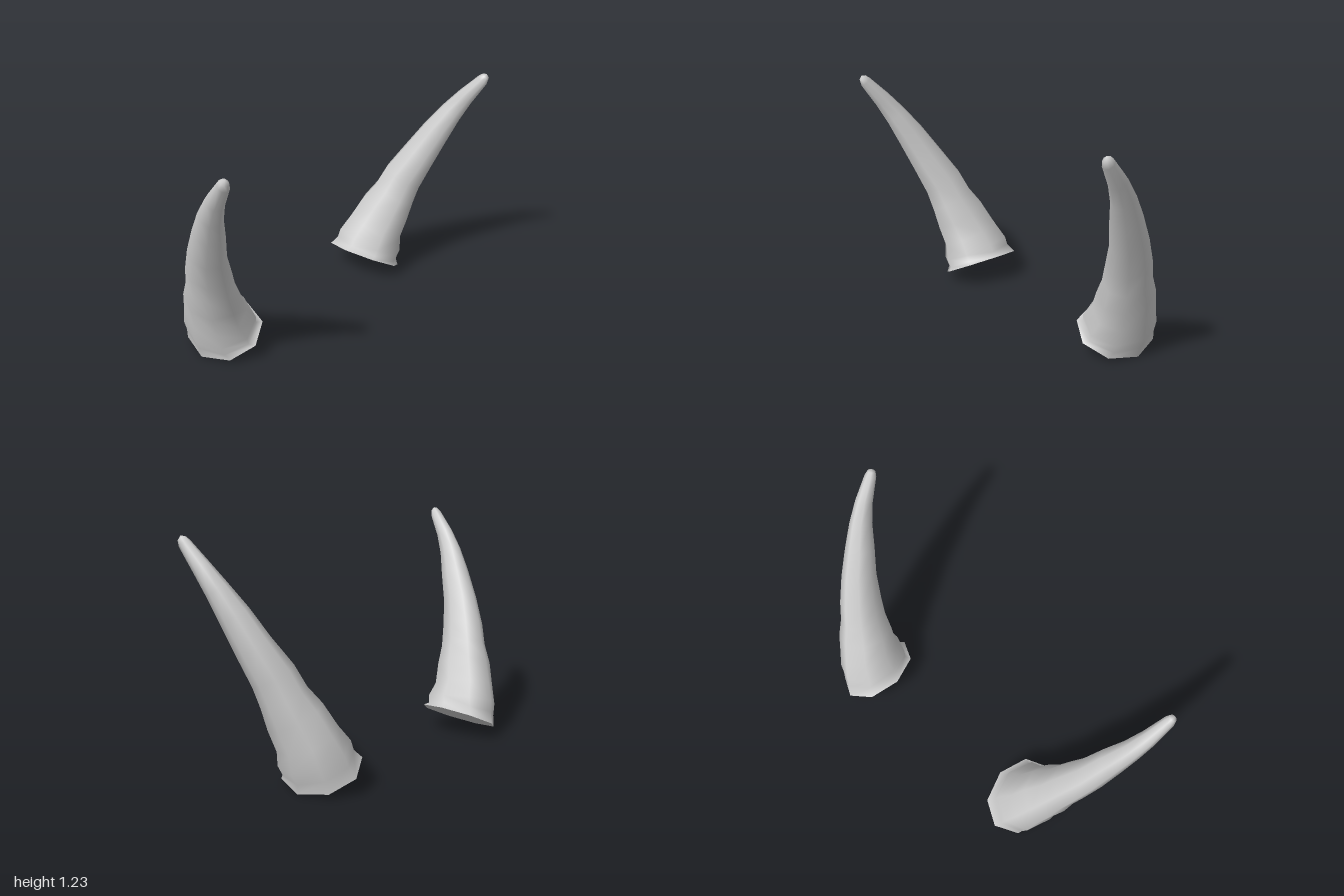
import * as THREE from 'three';

const SIDES = 8;

// Rings from base to tip: centre x, y, z, then radius across and radius front to back
const RINGS = [
  [0.57, 0.09, -0.15, 0.19, 0.23],
  [0.594, 0.125, -0.15, 0.17, 0.205],
  [0.61, 0.175, -0.14, 0.177, 0.205],
  [0.645, 0.255, -0.13, 0.149, 0.178],
  [0.69, 0.37, -0.094, 0.138, 0.16],
  [0.728, 0.467, -0.06, 0.114, 0.135],
  [0.764, 0.575, -0.027, 0.106, 0.122],
  [0.822, 0.715, 0.038, 0.087, 0.103],
  [0.87, 0.865, 0.115, 0.072, 0.085],
  [0.912, 0.985, 0.182, 0.055, 0.066],
  [0.942, 1.085, 0.25, 0.043, 0.05],
  [0.968, 1.195, 0.338, 0.029, 0.033],
  [0.972, 1.218, 0.353, 0.02, 0.022],
];

// Points of one ring, square to the centre line; side is 1 or -1
function ringPoints(i, side) {
  const centre = k => new THREE.Vector3().fromArray(RINGS[THREE.MathUtils.clamp(k, 0, RINGS.length - 1)]);
  const c = centre(i);
  const along = i === 0 ? new THREE.Vector3(0.46, 0.89, 0) : centre(i + 1).sub(centre(i - 1));
  along.normalize();
  const u = new THREE.Vector3(1, 0, 0).addScaledVector(along, -along.x).normalize();
  const v = new THREE.Vector3().crossVectors(u, along);
  const points = [];
  for (let j = 0; j < SIDES; j++) {
    const a = (j / SIDES) * Math.PI * 2;
    const p = c.clone()
      .addScaledVector(u, Math.cos(a) * RINGS[i][3])
      .addScaledVector(v, Math.sin(a) * RINGS[i][4]);
    p.x *= side;
    points.push(p);
  }
  return points;
}

function meshGeometry(points, index, side) {
  if (side < 0) {
    for (let i = 0; i < index.length; i += 3) {
      [index[i + 1], index[i + 2]] = [index[i + 2], index[i + 1]];
    }
  }
  const geometry = new THREE.BufferGeometry().setFromPoints(points);
  geometry.setIndex(index);
  geometry.computeVertexNormals();
  return geometry;
}

// Smooth curved skin, closed by a small point at the tip
function hornGeometry(side) {
  const points = RINGS.flatMap((_, i) => ringPoints(i, side));
  const index = [];
  for (let i = 0; i < RINGS.length - 1; i++) {
    for (let j = 0; j < SIDES; j++) {
      const a = i * SIDES + j;
      const b = i * SIDES + ((j + 1) % SIDES);
      index.push(a, a + SIDES, b, b, a + SIDES, b + SIDES);
    }
  }
  const last = (RINGS.length - 1) * SIDES;
  points.push(new THREE.Vector3(0.974 * side, 1.231, 0.358));
  for (let j = 0; j < SIDES; j++) {
    index.push(points.length - 1, last + ((j + 1) % SIDES), last + j);
  }
  return meshGeometry(points, index, side);
}

// Flat octagon closing the base
function baseGeometry(side) {
  const index = [];
  for (let j = 1; j < SIDES - 1; j++) index.push(0, j, j + 1);
  return meshGeometry(ringPoints(0, side), index, side);
}

export function createModel() {
  const model = new THREE.Group();
  model.name = 'hornPair';
  const material = new THREE.MeshStandardMaterial({ color: 0xcccccc });
  material.name = 'pale grey';

  for (const [name, side] of [['left', 1], ['right', -1]]) {
    const horn = new THREE.Group();
    horn.name = name + 'Horn';
    const skin = new THREE.Mesh(hornGeometry(side), material);
    skin.name = name + 'HornSkin';
    const base = new THREE.Mesh(baseGeometry(side), material);
    base.name = name + 'HornBase';
    horn.add(skin, base);
    model.add(horn);
  }
  return model;
}
